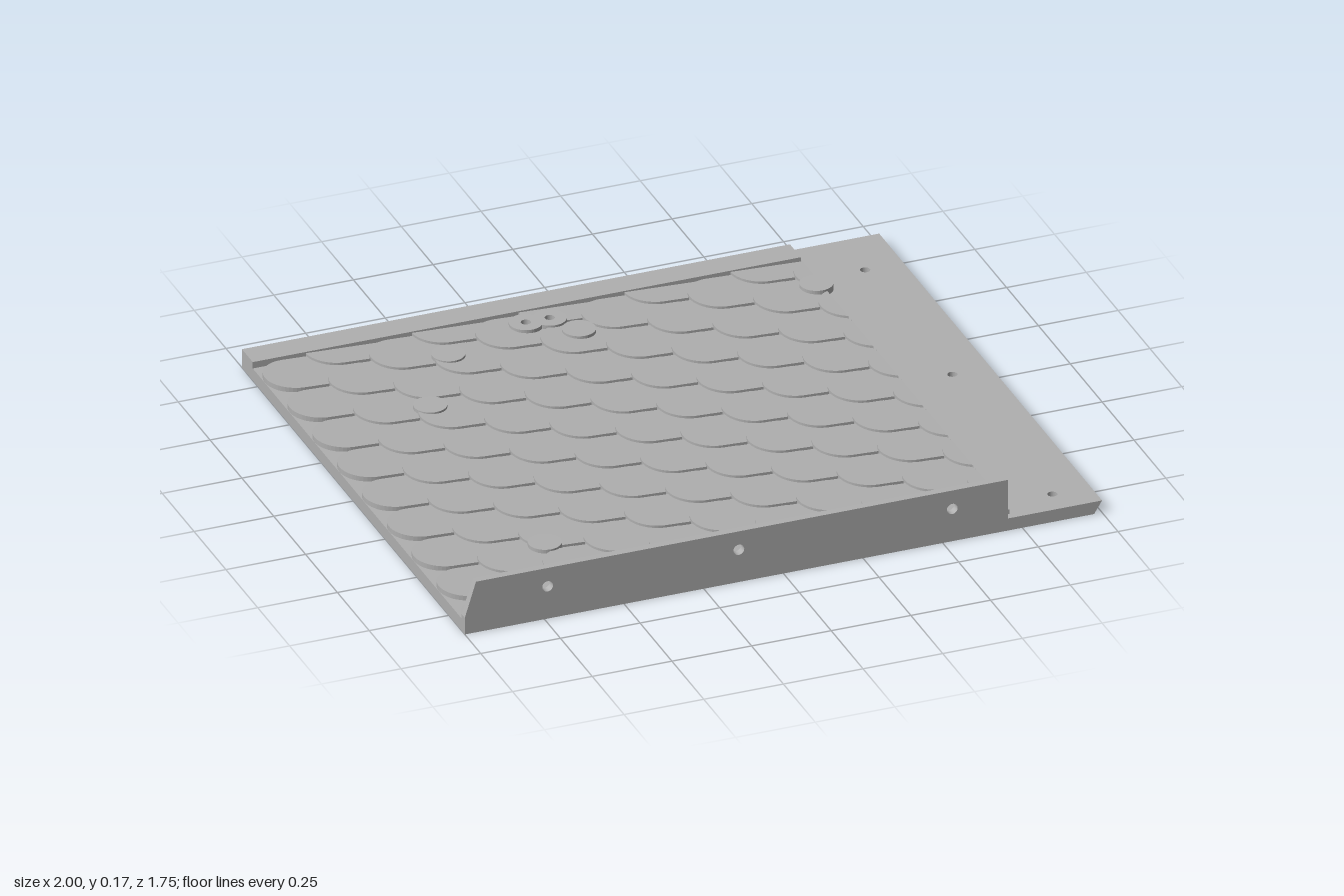
import * as THREE from 'three';

const PLATE_TOP = 0.04;
const HALF_Z = 0.875;
const HOLE_R = 0.015;

// Through holes shared by the plate, the scales and the twin bosses
const twinHoles = [[-0.17, -0.722], [-0.095, -0.722]];
const endHoles = [[0.88, -0.685], [0.88, 0], [0.88, 0.785]];
// Bosses that close blind holes in the underside
const blindBosses = [[0.705, -0.63], [-0.04, -0.63], [-0.45, -0.63], [-0.615, -0.36], [-0.615, 0.54]];

function circlePath(x, y, r) {
  const path = new THREE.Path();
  path.absarc(x, y, r, 0, Math.PI * 2, true);
  return path;
}

// Extrudes an (x, z) outline downwards from y = top
function slab(shape, thickness, top) {
  const geometry = new THREE.ExtrudeGeometry(shape, { depth: thickness, bevelEnabled: false, curveSegments: 20 });
  geometry.rotateX(Math.PI / 2);
  geometry.translate(0, top, 0);
  return geometry;
}

function rectangle(x0, x1, y0, y1) {
  return new THREE.Shape([[x0, y0], [x1, y0], [x1, y1], [x0, y1]].map(([x, y]) => new THREE.Vector2(x, y)));
}

// Tongue-shaped scale: round tip on -x, sloping down towards +x
function scaleGeometry(tip, centre, length) {
  const r = 0.09;
  const outline = [];
  const add = (x, z) => {
    const p = new THREE.Vector2(tip + Math.min(x, length), THREE.MathUtils.clamp(centre + z, -0.79, 0.85));
    if (!outline.some((q) => q.distanceTo(p) < 1e-5)) outline.push(p);
  };
  add(length, r);
  for (let i = 0; i <= 24; i++) {
    const a = Math.PI / 2 + (i / 24) * Math.PI;
    add(r + r * Math.cos(a), r * Math.sin(a));
  }
  add(length, -r);

  const shape = new THREE.Shape(outline);
  for (const [x, z] of twinHoles) {
    if (x > tip + 0.06 && x < tip + length - 0.02 && Math.abs(z - centre) < 0.075) {
      shape.holes.push(circlePath(x, z, HOLE_R));
    }
  }
  const geometry = slab(shape, 0.016, 0.057);
  const p = geometry.attributes.position;
  for (let i = 0; i < p.count; i++) p.setY(i, p.getY(i) - (p.getX(i) - tip) * 0.045);
  geometry.computeVertexNormals();
  return geometry;
}

export function createModel() {
  const model = new THREE.Group();
  const grey = new THREE.MeshStandardMaterial({ color: 0xb0b0b0 });
  grey.name = 'plain grey';

  const addMesh = (name, geometry, parent = model) => {
    const mesh = new THREE.Mesh(geometry, grey);
    mesh.name = name;
    parent.add(mesh);
    return mesh;
  };

  // Base plate with holes; the lower +x edge is undercut
  const plate = rectangle(-1, 1, -HALF_Z, HALF_Z);
  for (const [x, z] of [...endHoles, ...twinHoles, ...blindBosses]) plate.holes.push(circlePath(x, z, HOLE_R));
  const plateGeometry = slab(plate, PLATE_TOP, PLATE_TOP);
  const p = plateGeometry.attributes.position;
  for (let i = 0; i < p.count; i++) {
    if (p.getX(i) > 0.99 && p.getY(i) < 0.01) p.setX(i, 0.975);
  }
  plateGeometry.computeVertexNormals();
  addMesh('basePlate', plateGeometry);

  // Upright front flange with three screw holes
  const flange = new THREE.Shape([
    [-1, PLATE_TOP], [0.705, PLATE_TOP], [0.705, 0.168], [-0.965, 0.168], [-1, 0.055],
  ].map(([x, y]) => new THREE.Vector2(x, y)));
  for (const x of [-0.74, -0.14, 0.53]) flange.holes.push(circlePath(x, 0.107, 0.017));
  const flangeGeometry = new THREE.ExtrudeGeometry(flange, { depth: 0.025, bevelEnabled: false, curveSegments: 20 });
  flangeGeometry.translate(0, 0, 0.85);
  addMesh('frontFlange', flangeGeometry);

  // Low rail along the back edge
  addMesh('backRail', slab(rectangle(-1, 0.72, -HALF_Z, -0.79), 0.021, 0.061));

  // Staggered, overlapping scales
  const scales = new THREE.Group();
  scales.name = 'scales';
  model.add(scales);
  const pitchX = 1 / 6;
  const pitchZ = 0.195;
  for (let column = 0; column <= 10; column++) {
    const tip = -1 + column * pitchX;
    const length = Math.min(0.3, 0.72 - tip);
    const first = -0.695 - (column % 2 ? pitchZ / 2 : 0);
    for (let centre = first; centre < 0.92; centre += pitchZ) {
      addMesh('scale', scaleGeometry(tip, centre, length), scales);
    }
  }

  // Round bosses: two drilled through, the rest closed on top
  const disc = (x, z, drilled) => {
    const shape = new THREE.Shape();
    shape.absarc(x, z, 0.05, 0, Math.PI * 2, false);
    if (drilled) shape.holes.push(circlePath(x, z, HOLE_R));
    return slab(shape, 0.021, 0.0605);
  };
  for (const [x, z] of twinHoles) addMesh('drilledBoss', disc(x, z, true));
  for (const [x, z] of blindBosses) addMesh('closedBoss', disc(x, z, false));

  return model;
}
